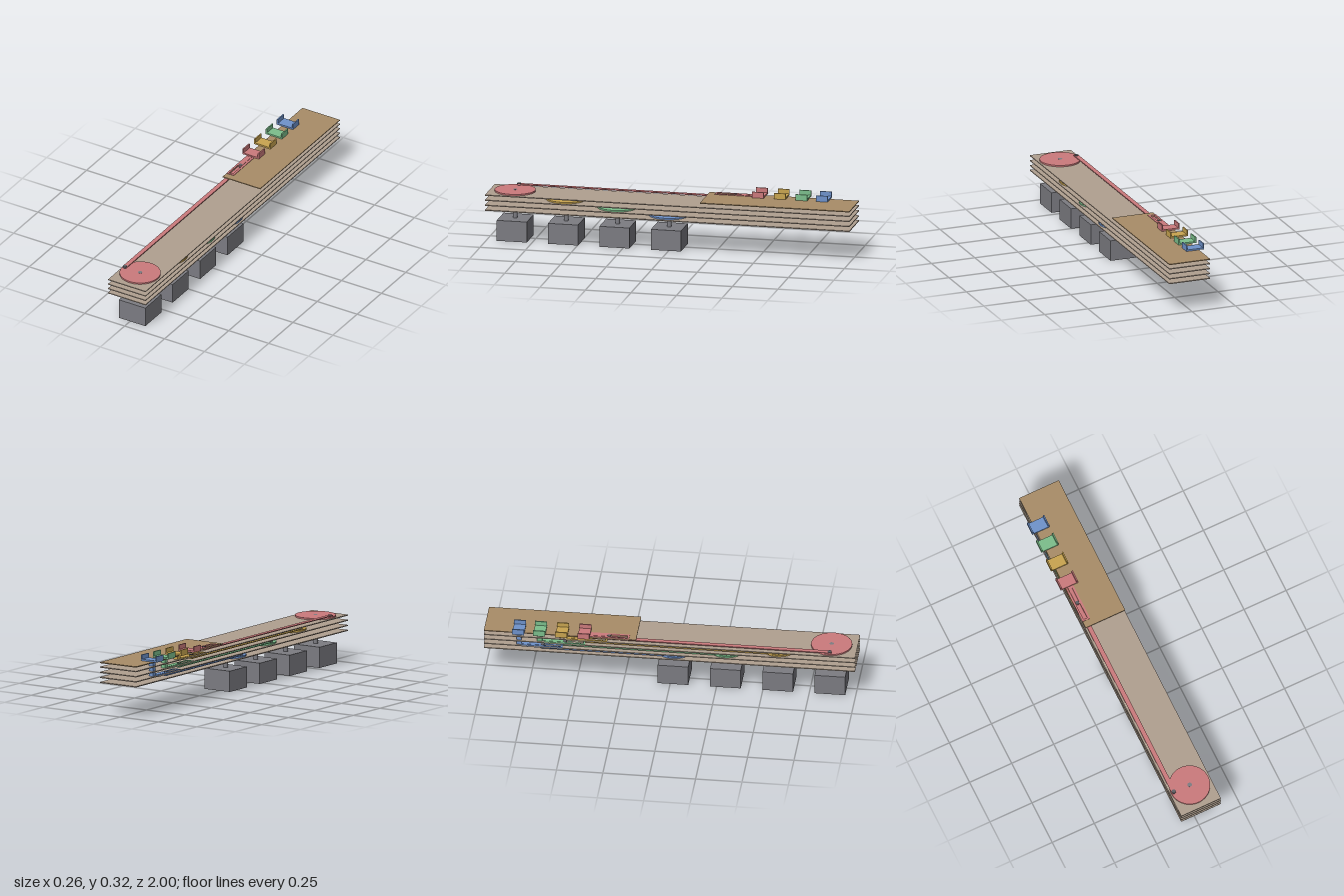
import * as THREE from 'three';

const mat = (name, color) => {
  const m = new THREE.MeshStandardMaterial({ color });
  m.name = name;
  return m;
};

export function createModel() {
  const model = new THREE.Group();
  model.name = 'crankSliderMachine';
  const grey = mat('motorGrey', 0x7c7c82);
  const dark = mat('pinGrey', 0x606066);
  const deckTan = mat('deckTan', 0xb0a090);
  const wood = mat('topWood', 0xa98d68);

  const add = (parent, name, geometry, material, x, y, z) => {
    const mesh = new THREE.Mesh(geometry, material);
    mesh.name = name;
    mesh.position.set(x, y, z);
    parent.add(mesh);
    return mesh;
  };
  // Box given by its lower and upper limits on each axis
  const box = (parent, name, material, x0, x1, y0, y1, z0, z1) =>
    add(parent, name, new THREE.BoxGeometry(x1 - x0, y1 - y0, z1 - z0), material,
      (x0 + x1) / 2, (y0 + y1) / 2, (z0 + z1) / 2);
  // Upright cylinder between two heights
  const post = (parent, name, material, r, x, y0, y1, z, sides = 24) =>
    add(parent, name, new THREE.CylinderGeometry(r, r, y1 - y0, sides), material, x, (y0 + y1) / 2, z);
  // Flat plate with an optional rectangular slot [x0, x1, z0, z1]
  const slotted = (parent, name, material, x0, x1, y0, y1, z0, z1, slot) => {
    const rect = (path, a, b, c, d) =>
      path.moveTo(a, -d).lineTo(b, -d).lineTo(b, -c).lineTo(a, -c).closePath();
    const shape = rect(new THREE.Shape(), x0, x1, z0, z1);
    if (slot) shape.holes.push(rect(new THREE.Path(), ...slot));
    const geometry = new THREE.ExtrudeGeometry(shape, { depth: y1 - y0, bevelEnabled: false });
    geometry.rotateX(-Math.PI / 2);
    return add(parent, name, geometry, material, 0, y0, 0);
  };

  const axisX = 0.0125;   // motor and wheel axis
  const rodX = -0.082;    // crank pin and slider line
  const deckY = [0.172, 0.199, 0.227, 0.255, 0.28]; // undersides of the decks
  const deckT = 0.005;

  // Each drive: wheel runs above deck `level`, slider above the next deck
  const drives = [
    { name: 'blue', color: 0x6f93cc, level: 0, motorZ: 0.015, pinZ: -0.687, forkZ: -0.813 },
    { name: 'green', color: 0x7cbf8c, level: 1, motorZ: 0.298, pinZ: -0.565, forkZ: -0.7 },
    { name: 'yellow', color: 0xc9a550, level: 2, motorZ: 0.58, pinZ: -0.447, forkZ: -0.581 },
    { name: 'red', color: 0xcc7a7c, level: 3, motorZ: 0.861, pinZ: -0.328, forkZ: -0.461 },
  ];
  const slotOf = (d) => [rodX - 0.011, rodX + 0.011, d.pinZ - 0.1, d.pinZ + 0.1];

  // Stacked decks, the top one covering only the rear part
  deckY.forEach((y, i) => {
    const top = i === 4;
    slotted(model, top ? 'topDeck' : 'deck', top ? wood : deckTan,
      -0.104, 0.131, y, y + deckT, -1, top ? -0.18 : 1, i > 0 ? slotOf(drives[i - 1]) : null);
  });

  for (const d of drives) {
    const paint = mat(d.name + 'Paint', d.color);
    const g = new THREE.Group();
    g.name = d.name + 'Drive';
    model.add(g);
    const base = deckY[d.level] + deckT;       // surface under the wheel
    const upper = deckY[d.level + 1];          // underside of the slotted deck
    const guide = upper + deckT;               // surface under the slider

    // Motor, shaft and crank wheel
    box(g, 'motor', grey, axisX - 0.0825, axisX + 0.0825, 0, 0.113, d.motorZ - 0.0825, d.motorZ + 0.0825);
    post(g, 'motorShaft', grey, 0.012, axisX, 0.113, base + 0.0095, d.motorZ);
    post(g, 'crankWheel', paint, 0.11, axisX, base + 0.001, base + 0.009, d.motorZ, 64);

    // Connecting rod and its two pins
    post(g, 'crankPin', dark, 0.011, rodX, base + 0.009, upper - 0.001, d.motorZ);
    box(g, 'connectingRod', paint, rodX - 0.0125, rodX + 0.0125, base + 0.011, base + 0.016, d.pinZ - 0.01, d.motorZ + 0.008);
    post(g, 'sliderPin', dark, 0.01, rodX, base + 0.009, guide + 0.0045, d.pinZ);

    // Slot frame on the deck, slider bar, stem and fork
    slotted(g, 'slotFrame', paint, rodX - 0.0215, rodX + 0.0235, upper - 0.002, guide + 0.0025,
      d.pinZ - 0.11, d.pinZ + 0.11, slotOf(d));
    box(g, 'sliderBar', paint, rodX - 0.01, rodX + 0.01, guide - 0.001, guide + 0.0035, d.forkZ, d.pinZ + 0.01);
    if (d.level < 3) box(g, 'forkStem', paint, rodX - 0.012, rodX + 0.012, guide, 0.288, d.forkZ - 0.0135, d.forkZ + 0.0135);
    const z0 = d.forkZ - 0.032, z1 = d.forkZ + 0.032;
    box(g, 'forkBase', paint, -0.132, -0.03, 0.2865, 0.295, z0, z1);
    box(g, 'forkWall', paint, -0.132, -0.125, 0.295, 0.319, z0, z1);
    box(g, 'forkWall', paint, -0.037, -0.03, 0.295, 0.319, z0, z1);
  }
  return model;
}
